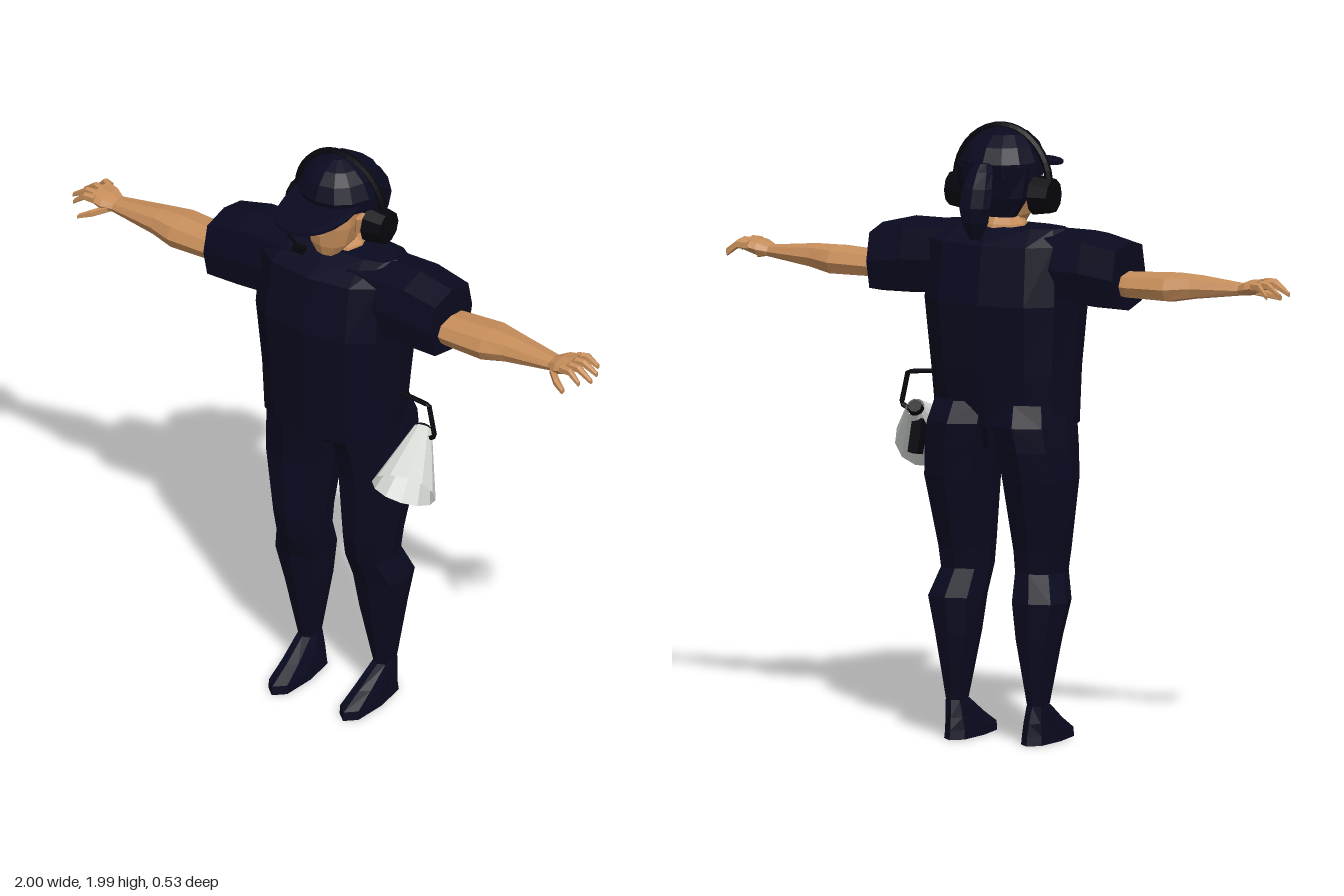
import * as THREE from 'three';

const navy = new THREE.MeshStandardMaterial({ color: 0x0a0a20 });
const skin = new THREE.MeshStandardMaterial({ color: 0xc68d5a });
const hornGrey = new THREE.MeshStandardMaterial({ color: 0xd8dcd7, side: THREE.DoubleSide });
const black = new THREE.MeshStandardMaterial({ color: 0x06060d });
navy.name = 'navy cloth';
skin.name = 'skin';
hornGrey.name = 'horn grey';
black.name = 'black plastic';

const V = (x, y, z) => new THREE.Vector3(x, y, z);

// faceted normals for the low-poly look
function flat(geo) {
  const g = geo.index ? geo.toNonIndexed() : geo;
  g.computeVertexNormals();
  return g;
}

// copy reflected to -x, with the corner order restored
function mirrored(geo) {
  const g = geo.clone();
  const p = g.attributes.position;
  for (let i = 0; i < p.count; i += 3) {
    const t = [0, 2, 1].map((k) => V(-p.getX(i + k), p.getY(i + k), p.getZ(i + k)));
    t.forEach((v, k) => p.setXYZ(i + k, v.x, v.y, v.z));
  }
  g.computeVertexNormals();
  return g;
}

// skin over rounded-box sections: 'y' rows are [y, x0, x1, z0, z1], 'x' rows are [x, y0, y1, z0, z1]
function loft(axis, rows, n = 8, power = 0.75) {
  const round = (t) => Math.sign(t) * Math.pow(Math.abs(t) < 1e-6 ? 0 : Math.abs(t), power);
  const rings = rows.map(([h, a0, a1, b0, b1]) => Array.from({ length: n }, (_, j) => {
    const ang = (j / n) * Math.PI * 2;
    const s = round(Math.sin(ang)), c = round(Math.cos(ang));
    const at = (lo, hi, t) => (lo + hi) / 2 + ((hi - lo) / 2) * t;
    return axis === 'y' ? V(at(a0, a1, s), h, at(b0, b1, c)) : V(h, at(a0, a1, c), at(b0, b1, s));
  }));
  const tris = [];
  for (let i = 0; i < rings.length - 1; i++) {
    for (let j = 0; j < n; j++) {
      const k = (j + 1) % n;
      const [a, b, c, d] = [rings[i][j], rings[i][k], rings[i + 1][k], rings[i + 1][j]];
      tris.push(a, b, c, a, c, d);
    }
  }
  const lo = rings[0], hi = rings[rings.length - 1];
  for (let j = 1; j < n - 1; j++) tris.push(lo[0], lo[j + 1], lo[j], hi[0], hi[j], hi[j + 1]);
  return flat(new THREE.BufferGeometry().setFromPoints(tris));
}

function tube(points, radius, segments, smooth = true) {
  let curve = new THREE.CatmullRomCurve3(points);
  if (!smooth) {
    curve = new THREE.CurvePath();
    for (let i = 1; i < points.length; i++) curve.add(new THREE.LineCurve3(points[i - 1], points[i]));
  }
  return flat(new THREE.TubeGeometry(curve, segments, radius, 6));
}

export function createModel() {
  const root = new THREE.Group();
  root.name = 'figure';
  const add = (name, geo, mat) => {
    const m = new THREE.Mesh(geo, mat);
    m.name = name;
    root.add(m);
    return m;
  };
  const pair = (name, geo, mat) => {
    add(name + 'Left', geo, mat);
    add(name + 'Right', mirrored(geo), mat);
  };

  // shirt
  add('shirt', loft('y', [
    [1.02, -0.235, 0.235, -0.15, 0.15], [1.2, -0.24, 0.24, -0.185, 0.168],
    [1.42, -0.258, 0.258, -0.21, 0.19], [1.61, -0.25, 0.25, -0.185, 0.158],
    [1.66, -0.22, 0.22, -0.1, 0.04]], 12), navy);
  pair('sleeve', loft('x', [
    [0.1, 1.43, 1.66, -0.13, 0.11], [0.32, 1.412, 1.66, -0.135, 0.105],
    [0.44, 1.41, 1.63, -0.13, 0.1]], 8, 0.6), navy);

  // trousers and shoes
  add('trouserSeat', loft('y', [[0.95, -0.04, 0.04, -0.13, 0.07], [1.06, -0.1, 0.1, -0.16, 0.12]]), navy);
  pair('trouserLeg', loft('y', [
    [0.12, 0.115, 0.175, -0.11, -0.03], [0.34, 0.075, 0.213, -0.14, 0.015],
    [0.46, 0.06, 0.24, -0.15, 0.038], [0.55, 0.055, 0.21, -0.112, 0.07],
    [0.62, 0.052, 0.217, -0.122, 0.082], [0.85, 0.03, 0.25, -0.175, 0.092],
    [0.95, 0.018, 0.243, -0.192, 0.105], [1.03, 0, 0.232, -0.2, 0.12],
    [1.1, 0, 0.215, -0.17, 0.1]]), navy);
  pair('shoe', loft('y', [
    [0, 0.09, 0.185, -0.138, 0.155], [0.03, 0.092, 0.183, -0.133, 0.152],
    [0.07, 0.1, 0.18, -0.125, 0.07], [0.125, 0.112, 0.178, -0.112, -0.025]]), navy);

  // bare arms and hands
  pair('arm', loft('x', [
    [0.4, 1.46, 1.535, -0.08, 0.06], [0.46, 1.452, 1.537, -0.09, 0.065],
    [0.6, 1.45, 1.545, -0.095, 0.07], [0.68, 1.465, 1.543, -0.07, 0.05],
    [0.85, 1.488, 1.525, -0.04, 0.03]]), skin);
  pair('palm', loft('x', [
    [0.84, 1.488, 1.525, -0.04, 0.03], [0.875, 1.49, 1.54, -0.062, 0.05],
    [0.915, 1.505, 1.545, -0.067, 0.05]]), skin);
  [[-0.052, -0.075, 0.965], [-0.022, -0.032, 0.99], [0.008, 0.014, 1.0], [0.037, 0.048, 0.975]]
    .forEach(([z0, z1, tip], i) => {
      const zm = (z0 + z1) / 2, xm = (0.9 + tip) / 2;
      pair('finger' + (i + 1), loft('x', [
        [0.9, 1.51, 1.542, z0 - 0.014, z0 + 0.014], [xm, 1.515, 1.542, zm - 0.012, zm + 0.012],
        [tip, 1.49, 1.507, z1 - 0.007, z1 + 0.007]], 6), skin);
    });
  pair('thumb', loft('x', [
    [0.855, 1.488, 1.515, 0.005, 0.04], [0.895, 1.475, 1.502, 0.045, 0.075],
    [0.935, 1.465, 1.482, 0.07, 0.09]], 6), skin);

  // neck, face and ears
  add('neck', loft('y', [
    [1.6, -0.1, 0.1, -0.12, 0.06], [1.667, -0.078, 0.078, -0.105, 0.03],
    [1.69, -0.055, 0.055, -0.09, 0.02], [1.8, -0.055, 0.055, -0.09, 0.02]]), skin);
  add('face', loft('y', [
    [1.652, -0.04, 0.04, -0.03, 0.07], [1.69, -0.066, 0.066, -0.07, 0.082],
    [1.76, -0.085, 0.085, -0.1, 0.088], [1.87, -0.09, 0.09, -0.1, 0.08]], 10), skin);
  add('nose', loft('y', [
    [1.735, -0.014, 0.014, 0.07, 0.1], [1.8, -0.008, 0.008, 0.07, 0.09]], 4, 1), skin);
  pair('ear', loft('y', [
    [1.725, 0.075, 0.09, -0.03, 0.005], [1.785, 0.08, 0.108, -0.04, 0.015]], 6), skin);

  // hair and ponytail
  add('hair', loft('y', [
    [1.695, -0.075, 0.075, -0.125, -0.06], [1.76, -0.115, 0.115, -0.15, -0.035],
    [1.86, -0.13, 0.13, -0.17, 0.02]], 10), navy);
  add('ponytail', loft('y', [
    [1.635, -0.02, 0.02, -0.235, -0.215], [1.69, -0.045, 0.045, -0.258, -0.195],
    [1.74, -0.055, 0.055, -0.262, -0.2], [1.8, -0.052, 0.052, -0.245, -0.18],
    [1.85, -0.04, 0.04, -0.215, -0.15], [1.875, -0.025, 0.025, -0.19, -0.14]]), navy);

  // cap: dome and arched peak
  add('capDome', loft('y', [
    [1.825, -0.137, 0.137, -0.17, 0.085], [1.87, -0.136, 0.136, -0.178, 0.11],
    [1.92, -0.112, 0.112, -0.15, 0.09], [1.955, -0.075, 0.075, -0.1, 0.055],
    [1.975, -0.025, 0.025, -0.045, 0.005]], 14, 0.95), navy);
  const outline = new THREE.Shape();
  outline.moveTo(-0.122, 0.04);
  outline.bezierCurveTo(-0.13, 0.19, -0.07, 0.265, 0, 0.265);
  outline.bezierCurveTo(0.07, 0.265, 0.13, 0.19, 0.122, 0.04);
  const peak = new THREE.ExtrudeGeometry(outline, { depth: 0.009, bevelEnabled: false, curveSegments: 6 });
  peak.rotateX(Math.PI / 2);
  const pp = peak.attributes.position;
  for (let i = 0; i < pp.count; i++) {
    const x = pp.getX(i), z = pp.getZ(i);
    pp.setY(i, pp.getY(i) + 1.868 - 0.16 * (z - 0.08) - 1.2 * x * x);
  }
  add('capPeak', flat(peak), navy);

  // headset: band, ear cups and microphone
  const arc = Array.from({ length: 9 }, (_, i) => {
    const a = (i / 8) * Math.PI;
    return V(0.168 * Math.cos(a), 1.785 + 0.192 * Math.sin(a), -0.035);
  });
  add('headsetBand', tube(arc, 0.013, 20), black);
  const cup = new THREE.CylinderGeometry(0.055, 0.065, 0.065, 10);
  cup.rotateZ(-Math.PI / 2).translate(0.15, 1.762, -0.035);
  pair('earCup', flat(cup), black);
  add('microphoneBoom', tube([V(-0.155, 1.72, -0.02), V(-0.135, 1.7, 0.07), V(-0.04, 1.697, 0.14)], 0.006, 8), black);
  add('microphone', flat(new THREE.BoxGeometry(0.04, 0.022, 0.024).translate(-0.04, 1.697, 0.142)), black);

  // loudhailer hanging at the left hip
  const from = V(0.305, 1.048, -0.05), to = V(0.355, 0.925, 0.13);
  const dir = to.clone().sub(from);
  const turn = new THREE.Quaternion().setFromUnitVectors(V(0, 1, 0), dir.clone().normalize());
  const along = (geo, t) => {
    const at = from.clone().addScaledVector(dir, t);
    return flat(geo.applyQuaternion(turn).translate(at.x, at.y, at.z));
  };
  add('loudhailerHorn', along(new THREE.CylinderGeometry(0.106, 0.03, dir.length(), 12, 1, true), 0.5), hornGrey);
  add('loudhailerEnd', along(new THREE.CylinderGeometry(0.026, 0.022, 0.03, 8), 0.02), black);
  add('loudhailerDriver', along(new THREE.CylinderGeometry(0.02, 0.026, 0.05, 8), 0.3), black);
  add('loudhailerGrip', flat(new THREE.BoxGeometry(0.036, 0.11, 0.04).rotateX(0.3).translate(0.3, 0.955, -0.045)), black);
  add('loudhailerStrap', tube([V(0.22, 1.17, -0.03), V(0.342, 1.158, -0.03),
    V(0.368, 1.052, -0.025), V(0.31, 1.02, -0.02)], 0.008, 24, false), black);

  return root;
}
